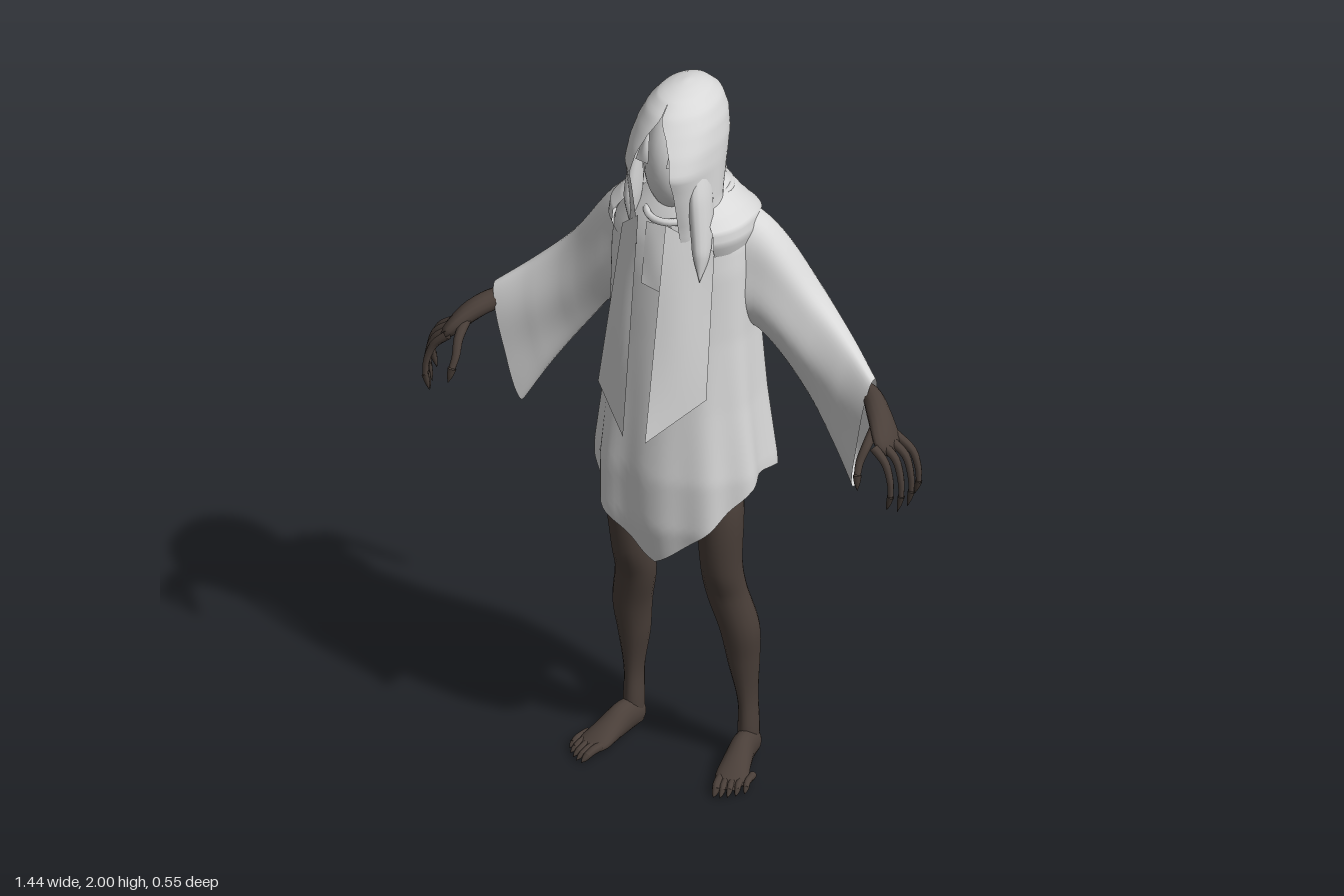
import * as THREE from 'three';
import { mergeVertices } from 'three/addons/utils/BufferGeometryUtils.js';

const V = (p) => new THREE.Vector3(...p);
const material = (name, color) => {
  const m = new THREE.MeshStandardMaterial({ color, side: THREE.DoubleSide });
  m.name = name;
  return m;
};
const power = (x, p) => Math.sign(x) * Math.pow(Math.abs(x), p);

// Smooth surface from a rule fn(u, v) -> [x, y, z]
function surface(fn, nu, nv) {
  const pos = [], idx = [];
  for (let j = 0; j <= nv; j++)
    for (let i = 0; i <= nu; i++) pos.push(...fn(i / nu, j / nv));
  for (let j = 0; j < nv; j++)
    for (let i = 0; i < nu; i++) {
      const a = j * (nu + 1) + i, b = a + nu + 1;
      idx.push(a, a + 1, b, a + 1, b + 1, b);
    }
  let g = new THREE.BufferGeometry();
  g.setAttribute('position', new THREE.Float32BufferAttribute(pos, 3));
  g.setIndex(idx);
  g = mergeVertices(g, 1e-5);
  g.computeVertexNormals();
  return g;
}

// Tube of changing elliptical section; radii are [across, along ref]
function taper(points, radii, ref = [0, 0, 1], nu = 14, nv = 28) {
  const path = new THREE.CatmullRomCurve3(points.map(V));
  const size = new THREE.CatmullRomCurve3(radii.map(([a, b = a]) => new THREE.Vector3(a, b, 0)));
  return surface((u, v) => {
    const c = path.getPoint(v), r = size.getPoint(v), t = path.getTangent(v);
    const b = t.clone().cross(V(ref)).normalize(), n = t.clone().cross(b);
    const a = u * Math.PI * 2;
    return c.addScaledVector(b, Math.max(r.x, 0) * Math.cos(a))
      .addScaledVector(n, Math.max(r.y, 0) * Math.sin(a)).toArray();
  }, nu, nv);
}

// Linear lookup in rows [key, ...values] with rising keys
function lookup(rows, k) {
  let i = 0;
  while (i < rows.length - 2 && k > rows[i + 1][0]) i++;
  const [a, b] = [rows[i], rows[i + 1]];
  const t = THREE.MathUtils.clamp((k - a[0]) / (b[0] - a[0]), 0, 1);
  return a.slice(1).map((x, n) => x + (b[n + 1] - x) * t);
}

// Cloth panel between four corners, with a soft bulge
function panel(tl, tr, bl, br, bulge) {
  const [a, b, c, d] = [tl, tr, bl, br].map(V);
  return surface((u, v) => {
    const p = a.clone().lerp(b, u).lerp(c.clone().lerp(d, u), v);
    p.z += bulge * Math.sin(Math.PI * u) * Math.sin(Math.PI * v);
    return p.toArray();
  }, 8, 14);
}

export function createModel() {
  const root = new THREE.Group();
  root.name = 'cloakedFigure';
  const cloth = material('grey cloth', 0xd8d8d8);
  const skin = material('dark skin', 0x4a3f39);
  const claw = material('dark claw', 0x443a34);
  const add = (parent, name, geo, mat) => {
    const m = new THREE.Mesh(geo, mat);
    m.name = name;
    parent.add(m);
    return m;
  };

  // Robe: folded bell with a pointed hem
  const robeRows = [[0.6, 0.225, 0.155], [0.75, 0.235, 0.19], [0.9, 0.235, 0.196], [1.1, 0.212, 0.18],
    [1.3, 0.198, 0.165], [1.5, 0.196, 0.152], [1.58, 0.19, 0.14], [1.64, 0.15, 0.12], [1.7, 0.085, 0.085]];
  const hemRows = [[0, 0.64], [25, 0.72], [50, 0.8], [70, 0.86], [85, 0.885], [105, 0.88], [125, 0.85],
    [150, 0.78], [165, 0.735], [180, 0.68]];
  add(root, 'robe', surface((u, v) => {
    const a = -u * Math.PI * 2;
    const deg = 180 - Math.abs(180 - u * 360);
    const y = 1.7 + (lookup(hemRows, deg)[0] - 1.7) * v;
    const [rx, rz] = lookup(robeRows, y);
    const fold = 1 + 0.035 * v * v * Math.cos(10 * a) + 0.015 * v * Math.sin(7 * a);
    return [rx * fold * power(Math.sin(a), 0.88), y, -0.012 + rz * fold * power(Math.cos(a), 0.92)];
  }, 108, 44), cloth);

  // Hood: open at the face, rows of [y, half width, back z, front z, opening angle]
  const hoodRows = [[1.56, 0.15, -0.13, 0.14, 0.46], [1.64, 0.13, -0.11, 0.155, 0.48], [1.7, 0.122, -0.092, 0.172, 0.52],
    [1.76, 0.122, -0.115, 0.19, 0.52], [1.81, 0.122, -0.138, 0.21, 0.5], [1.86, 0.119, -0.15, 0.185, 0.42],
    [1.91, 0.108, -0.152, 0.15, 0.24], [1.95, 0.09, -0.14, 0.12, 0.01], [1.98, 0.063, -0.105, 0.08, 0],
    [1.994, 0.033, -0.07, 0.03, 0], [2, 0, -0.02, -0.02, 0]];
  add(root, 'hood', surface((u, v) => {
    const y = 2 - 0.44 * Math.pow(v, 1.5);
    const [rx, zb, zf, open] = lookup(hoodRows, y);
    const a = -(open + u * (Math.PI * 2 - 2 * open));
    const c = (zb + zf) / 2, fold = 1 + 0.025 * v * Math.sin(6 * a + 5 * v);
    return [rx * fold * Math.sin(a), y, c + (zf - zb) / 2 * fold * Math.cos(a)];
  }, 60, 40), cloth);

  // Covered face, neck and throat band
  const face = add(root, 'faceWrap', new THREE.SphereGeometry(1, 28, 20), cloth);
  face.scale.set(0.09, 0.155, 0.115);
  face.position.set(0, 1.79, 0.015);
  add(root, 'neck', taper([[0, 1.72, 0.01], [0, 1.64, 0.01], [0, 1.56, 0]], [[0.065], [0.068], [0.08]]), cloth);
  const band = add(root, 'throatBand', new THREE.TorusGeometry(0.066, 0.01, 8, 32), cloth);
  band.rotation.x = Math.PI / 2 + 0.15;
  band.position.set(0, 1.655, 0.06);

  // Ragged brow flaps
  for (const s of [-1, 1])
    add(root, 'browFlap', panel([s * 0.042, 1.92, 0.115], [s * 0.036, 1.92, 0.115],
      [s * 0.068, 1.82, 0.135], [s * 0.026, 1.82, 0.145], 0.006), cloth);

  // Bib and hood ends hanging over the chest
  add(root, 'bib', panel([-0.045, 1.63, 0.118], [0.03, 1.63, 0.118], [-0.045, 1.46, 0.148], [0.04, 1.44, 0.15], 0.006), cloth);
  add(root, 'rightScarfEnd', panel([-0.12, 1.6, 0.11], [-0.055, 1.66, 0.145],
    [-0.165, 1.14, 0.16], [-0.045, 1.05, 0.25], 0.012), cloth);
  add(root, 'leftScarfEnd', panel([0.025, 1.65, 0.145], [0.145, 1.58, 0.1],
    [0.03, 1.06, 0.27], [0.155, 1.17, 0.165], 0.012), cloth);
  add(root, 'leftHoodDrape', taper([[0.085, 1.86, 0.09], [0.1, 1.72, 0.09], [0.115, 1.58, 0.115], [0.122, 1.5, 0.14]],
    [[0.01], [0.026, 0.05], [0.022, 0.035], [0]]), cloth);
  add(root, 'rightHoodDrape', taper([[-0.085, 1.84, 0.09], [-0.1, 1.7, 0.085], [-0.105, 1.58, 0.09]],
    [[0.01], [0.02, 0.04], [0]]), cloth);

  // Mantle: folded hood cloth draped over shoulders and back
  const up = [0, 1, 0];
  const mantleRows = [[0, 0.098, 0.088, 1.71], [0.25, 0.13, 0.122, 1.69], [0.5, 0.165, 0.152, 1.665],
    [0.75, 0.195, 0.174, 1.635], [0.9, 0.2, 0.175, 1.6], [1, 0.188, 0.155, 1.56]];
  add(root, 'mantle', surface((u, v) => {
    const a = -(0.8 + u * (Math.PI * 2 - 1.6));
    const [rx, rz, y] = lookup(mantleRows, v);
    const back = Math.max(0, -Math.cos(a));
    const fold = 1 + 0.03 * Math.sin(v * 13 + 2 * Math.cos(a)) * back;
    return [rx * fold * power(Math.sin(a), 0.88), y - 0.04 * back * v, -0.015 + rz * fold * power(Math.cos(a), 0.88)];
  }, 60, 28), cloth);
  // Twisted tie running round the neck to the knot
  add(root, 'neckTie', taper([[0.1, 1.69, 0.06], [0.115, 1.69, -0.04], [0.06, 1.672, -0.125], [0, 1.66, -0.155],
    [-0.06, 1.672, -0.125], [-0.115, 1.69, -0.04], [-0.1, 1.69, 0.06]],
  [[0.002], [0.01], [0.016], [0.02], [0.016], [0.01], [0.002]], up, 12, 40), cloth);

  // Knot with a hanging tail
  add(root, 'knot', taper([[0, 1.69, -0.155], [-0.005, 1.65, -0.185], [-0.012, 1.62, -0.205], [-0.015, 1.575, -0.22],
    [-0.02, 1.53, -0.23]], [[0], [0.036, 0.028], [0.03, 0.024], [0.043, 0.036], [0]]), cloth);
  add(root, 'knotTail', taper([[-0.015, 1.58, -0.235], [-0.02, 1.5, -0.25], [-0.025, 1.4, -0.258], [-0.032, 1.3, -0.27]],
    [[0.01], [0.014], [0.013], [0.016, 0.008]]), cloth);

  // Digit of skin ending in a claw
  const digit = (parent, name, pts, r, ref) => {
    const n = pts.length - 1;
    add(parent, name, taper(pts.slice(0, n), pts.slice(0, n).map((_, i) => [r * (1 - 0.13 * i)]), ref, 8, 12), skin);
    const mid = pts[n].map((x, i) => (x + pts[n - 1][i]) / 2);
    add(parent, name + 'Claw', taper([pts[n - 1], mid, pts[n]], [[r * 0.8], [r * 0.55], [0]], ref, 8, 6), claw);
  };

  // One side of limbs and sleeve, mirrored for the other
  const side = new THREE.Group();
  side.name = 'leftLimbs';

  // Wide sleeve: top edge, bottom edge and half depth at each section
  const top = new THREE.CatmullRomCurve3([[0.1, 1.68, -0.035], [0.22, 1.605, -0.06], [0.36, 1.42, -0.08],
    [0.46, 1.325, -0.055], [0.555, 1.25, -0.01]].map(V));
  const low = new THREE.CatmullRomCurve3([[0.14, 1.33, -0.04], [0.21, 1.29, -0.06], [0.33, 1.14, -0.08],
    [0.42, 1.01, -0.06], [0.485, 0.9, -0.035]].map(V));
  const depth = [[0, 0.085], [0.25, 0.074], [0.5, 0.072], [0.75, 0.058], [1, 0.038]];
  add(side, 'sleeve', surface((u, v) => {
    const a = u * Math.PI * 2, k = (1 - Math.cos(a)) / 2;
    const p = top.getPoint(v).lerp(low.getPoint(v), k);
    p.z += power(Math.sin(a), 0.75) * lookup(depth, v)[0] * (1 + 0.06 * Math.sin(9 * k + 6 * v));
    return p.toArray();
  }, 40, 28), cloth);

  // Forearm and palm
  add(side, 'forearm', taper([[0.42, 1.24, -0.06], [0.48, 1.205, -0.042], [0.545, 1.2, -0.012], [0.595, 1.175, 0.035],
    [0.64, 1.125, 0.075], [0.66, 1.09, 0.085]],
  [[0.015], [0.02], [0.028, 0.025], [0.028, 0.035], [0.021, 0.05], [0]]), skin);
  // Curled fingers and thumb
  for (let i = 0; i < 4; i++) {
    const z = 0.035 + i * 0.03, s = [0.85, 1, 1.02, 0.9][i], dx = [0.016, 0.012, 0, -0.014][i];
    digit(side, 'finger', [[0.632 + dx / 2, 1.135, z], [0.676 + dx, 1.1, z * 1.05], [0.694 + dx, 1.1 - 0.055 * s, z * 1.1],
      [0.696 + dx, 1.1 - 0.1 * s, z * 1.12], [0.684 + dx, 1.1 - 0.15 * s, z * 1.12]], 0.0125);
  }
  digit(side, 'thumb', [[0.6, 1.165, 0.06], [0.598, 1.125, 0.115], [0.592, 1.09, 0.14], [0.594, 1.06, 0.158],
    [0.6, 1.02, 0.17]], 0.0155, [1, 0, 0]);

  // Leg from hip to ankle
  add(side, 'leg', taper([[0.115, 1, 0], [0.122, 0.9, 0.025], [0.133, 0.78, 0.043], [0.131, 0.61, 0.034],
    [0.133, 0.52, 0.01], [0.157, 0.4, -0.018], [0.16, 0.3, -0.035], [0.167, 0.16, -0.047], [0.168, 0.08, -0.047],
    [0.168, 0.02, -0.045]],
  [[0.05], [0.056, 0.062], [0.061, 0.068], [0.055, 0.059], [0.056, 0.051], [0.053, 0.053], [0.042, 0.049],
    [0.024, 0.036], [0.027, 0.036], [0.026, 0.034]], [0, 0, 1], 18, 48), skin);
  // Foot turned slightly outward
  add(side, 'foot', taper([[0.165, 0.034, -0.088], [0.168, 0.04, -0.06], [0.176, 0.046, 0], [0.188, 0.034, 0.06],
    [0.2, 0.022, 0.11], [0.21, 0.014, 0.15]],
  [[0], [0.03, 0.038], [0.033, 0.046], [0.039, 0.033], [0.044, 0.021], [0.03, 0.008]], up, 18, 28), skin);
  // Clawed toes
  for (let i = 0; i < 5; i++) {
    const x = 0.172 + i * 0.0175, z = 0.132 - 0.002 * i * i, l = [0.068, 0.066, 0.06, 0.054, 0.046][i];
    digit(side, 'toe', [[x, 0.02, z - 0.03], [x + l * 0.15, 0.022, z + l * 0.35], [x + l * 0.25, 0.015, z + l * 0.65],
      [x + l * 0.32, 0.005, z + l]], i ? 0.0105 : 0.0135, up);
  }
  root.add(side);
  const other = side.clone();
  other.name = 'rightLimbs';
  other.scale.x = -1;
  root.add(other);

  return root;
}
